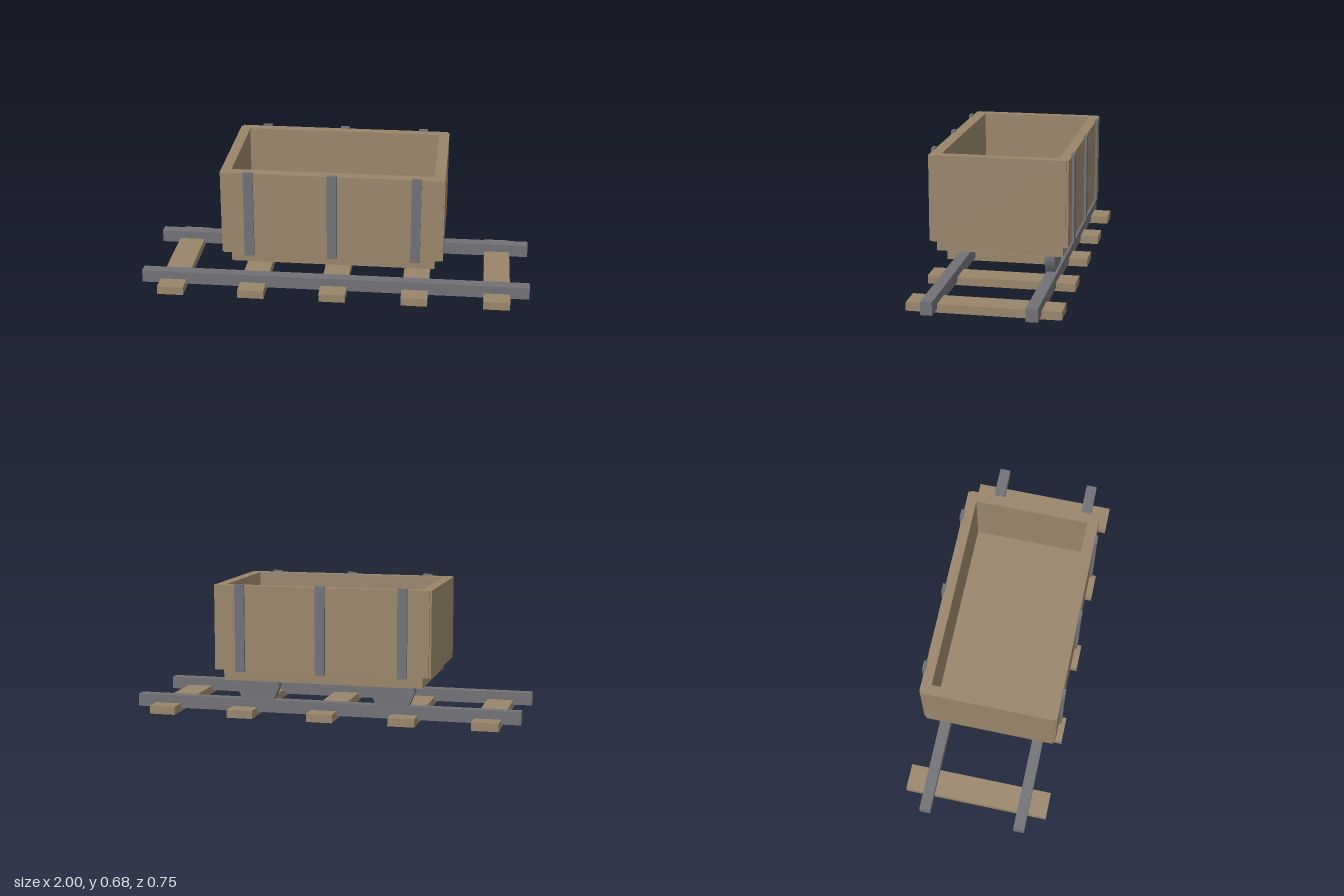
import * as THREE from 'three';

export function createModel() {
  const model = new THREE.Group();
  const wood = new THREE.MeshStandardMaterial({ color: 0x98846a });
  wood.name = 'wood';
  const iron = new THREE.MeshStandardMaterial({ color: 0x707075 });
  iron.name = 'iron';

  // Box given by its minimum and maximum on each axis
  const block = (name, material, [x0, x1], [y0, y1], [z0, z1]) => {
    const mesh = new THREE.Mesh(new THREE.BoxGeometry(x1 - x0, y1 - y0, z1 - z0), material);
    mesh.position.set((x0 + x1) / 2, (y0 + y1) / 2, (z0 + z1) / 2);
    mesh.name = name;
    model.add(mesh);
  };
  const around = (c, width) => [c - width / 2, c + width / 2];

  // Track: sleepers and two rails
  for (const x of [-0.835, -0.418, 0, 0.418, 0.835]) {
    block('sleeper', wood, around(x, 0.135), [0, 0.042], [-0.373, 0.373]);
  }
  for (const z of [-0.249, 0.249]) {
    block('rail', iron, [-1, 1], [0.018, 0.083], around(z, 0.057));
  }

  // Cart: chassis, floor and the four walls of the open box
  block('chassis', wood, [-0.515, 0.515], [0.185, 0.245], [-0.315, 0.316]);
  block('floor', wood, [-0.53, 0.53], [0.243, 0.293], [-0.32, 0.32]);
  block('frontWall', wood, [-0.55, 0.55], [0.243, 0.676], [0.287, 0.344]);
  block('backWall', wood, [-0.55, 0.55], [0.243, 0.676], [-0.345, -0.293]);
  block('rightWall', wood, [-0.56, -0.508], [0.243, 0.676], [-0.333, 0.334]);
  block('leftWall', wood, [0.503, 0.557], [0.243, 0.676], [-0.333, 0.334]);

  // Iron straps on both long walls
  for (const x of [-0.418, 0, 0.418]) {
    block('frontStrap', iron, around(x, 0.049), [0.236, 0.684], [0.34, 0.357]);
    block('backStrap', iron, around(x, 0.049), [0.236, 0.684], [-0.357, -0.34]);
  }

  // Wheels, along the back rail only
  for (const x of [-0.352, 0.352]) {
    const wheel = new THREE.Mesh(new THREE.CylinderGeometry(0.115, 0.115, 0.05, 8), iron);
    wheel.rotation.x = Math.PI / 2;
    wheel.position.set(x, 0.155, -0.24);
    wheel.name = 'wheel';
    model.add(wheel);
  }
  return model;
}
